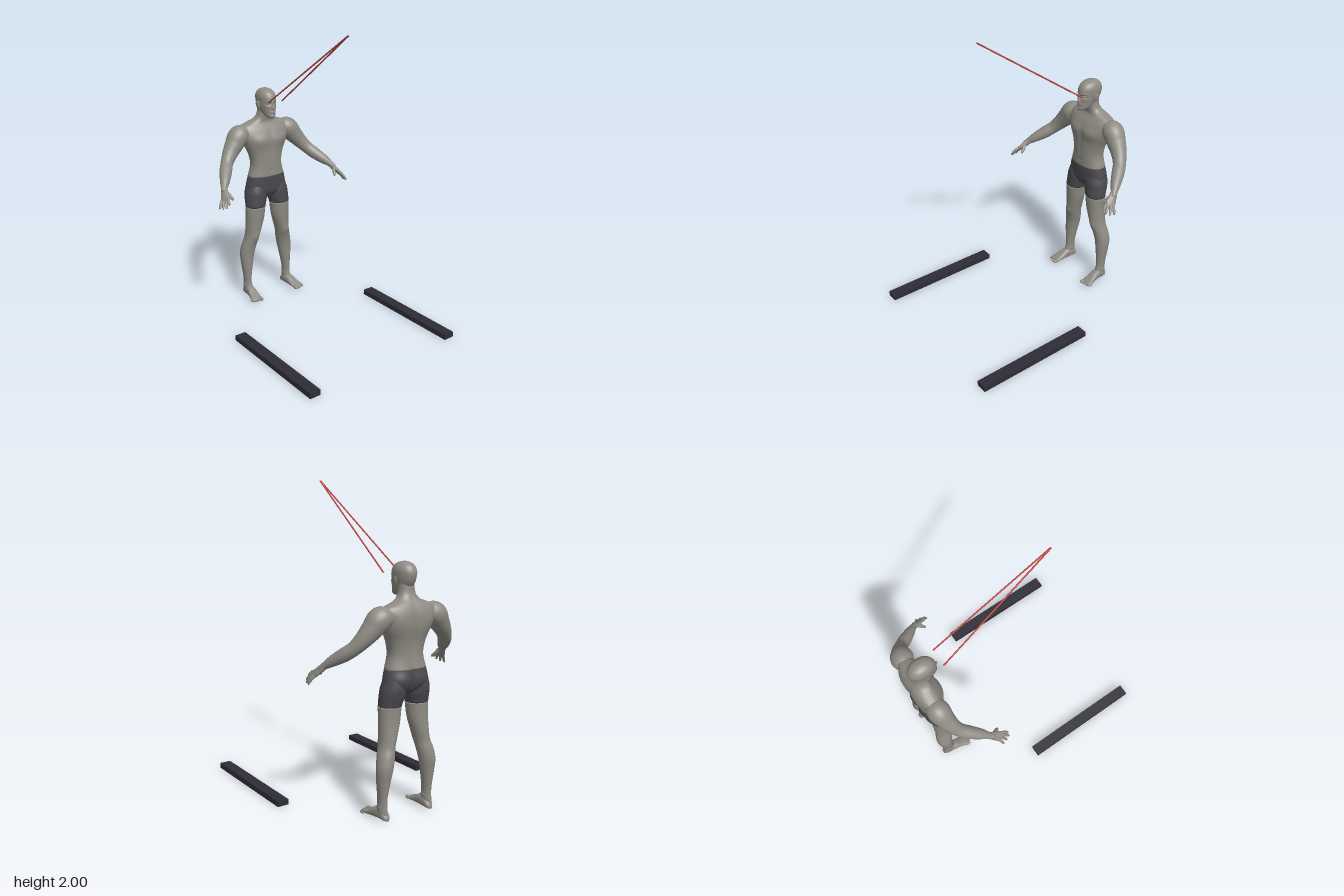
import * as THREE from 'three';

const V = (x, y, z) => new THREE.Vector3(x, y, z);
const material = (name, color) => Object.assign(new THREE.MeshStandardMaterial({ color }), { name });

// Smooth lookup in rows of [key, value, value...]
function sample(rows, k) {
  let i = 0;
  while (i < rows.length - 2 && k > rows[i + 1][0]) i++;
  const a = rows[i], b = rows[i + 1], h = b[0] - a[0], t = (k - a[0]) / h;
  const slope = (j, c) => {
    const p = rows[Math.max(j - 1, 0)], n = rows[Math.min(j + 1, rows.length - 1)];
    return (n[c] - p[c]) / (n[0] - p[0]);
  };
  return a.slice(1).map((v, n) => {
    const c = n + 1;
    return (2 * t ** 3 - 3 * t * t + 1) * v + (t ** 3 - 2 * t * t + t) * h * slope(i, c)
      + (3 * t * t - 2 * t ** 3) * b[c] + (t ** 3 - t * t) * h * slope(i + 1, c);
  });
}

// Skin over rings {c, u, v}; bumps [x, y, z, rx, ry, rz, push] swell or dent it on both sides
function skinRings(rings, { segs = 32, power = 2, bumps = [] } = {}) {
  const pos = [], idx = [];
  const all = bumps.flatMap(b => (b[0] ? [b, [-b[0], ...b.slice(1)]] : [b]));
  const pw = v => Math.sign(v) * Math.abs(v) ** (2 / power);
  for (const { c, u, v } of rings) {
    for (let j = 0; j < segs; j++) {
      const a = (j / segs) * Math.PI * 2;
      const p = c.clone().addScaledVector(u, pw(Math.cos(a))).addScaledVector(v, pw(Math.sin(a)));
      const out = p.clone().sub(c).normalize();
      let push = 0;
      for (const [x, y, z, rx, ry, rz, amount] of all)
        push += amount * Math.exp(-(((p.x - x) / rx) ** 2) - ((p.y - y) / ry) ** 2 - ((p.z - z) / rz) ** 2);
      p.addScaledVector(out, push);
      pos.push(p.x, p.y, p.z);
    }
  }
  const last = rings.length - 1, cap = rings.length * segs;
  for (const r of [rings[0], rings[last]]) pos.push(r.c.x, r.c.y, r.c.z);
  for (let j = 0; j < segs; j++) {
    const k = (j + 1) % segs;
    for (let i = 0; i < last; i++) {
      const a = i * segs + j, b = i * segs + k;
      idx.push(a, b, b + segs, a, b + segs, a + segs);
    }
    idx.push(cap, k, j, cap + 1, last * segs + j, last * segs + k);
  }
  const g = new THREE.BufferGeometry();
  g.setAttribute('position', new THREE.Float32BufferAttribute(pos, 3));
  g.setIndex(idx);
  g.computeVertexNormals();
  return g;
}

// Upright form from rows [y, centre x, half width, front z, back z]
function upright(rows, y0, y1, n, options) {
  const rings = [];
  for (let i = 0; i <= n; i++) {
    const y = y0 + ((y1 - y0) * i) / n;
    const [cx, w, f, b] = sample(rows, y);
    rings.push({ c: V(cx, y, (f + b) / 2), u: V(0, 0, (f - b) / 2), v: V(w, 0, 0) });
  }
  return skinRings(rings, options);
}

// Limb along points [x, y, z, half width, half thickness]; side sets the width direction
function limb(points, side, n, segs) {
  const curve = new THREE.CatmullRomCurve3(points.map(p => V(p[0], p[1], p[2])));
  const radii = points.map((p, i) => [i, p[3], p[4] ?? p[3]]);
  const rings = [];
  for (let i = 0; i <= n; i++) {
    const t = i / n, d = curve.getTangent(t);
    const [w, h] = sample(radii, t * (points.length - 1));
    const u = side.clone().addScaledVector(d, -side.dot(d)).normalize();
    rings.push({ c: curve.getPoint(t), u: u.clone().multiplyScalar(w), v: d.clone().cross(u).multiplyScalar(h) });
  }
  return skinRings(rings, { segs });
}

function mirrored(geometry) {
  const g = geometry.clone().scale(-1, 1, 1), ix = g.index.array;
  for (let i = 0; i < ix.length; i += 3) [ix[i + 1], ix[i + 2]] = [ix[i + 2], ix[i + 1]];
  return g;
}

function ball(x, y, z, rx, ry, rz) {
  return new THREE.SphereGeometry(1, 20, 14).scale(rx, ry, rz).translate(x, y, z);
}

export function createModel() {
  const model = new THREE.Group();
  const skin = material('skin', 0x8f8c84), cloth = material('shorts cloth', 0x4a4a4f);
  const dark = material('dark rail', 0x2e2d37), red = material('red rod', 0xc24a48);

  const add = (name, geometry, mat) => {
    const mesh = new THREE.Mesh(geometry, mat);
    mesh.name = name;
    model.add(mesh);
  };
  const pair = (name, geometry, mat) => {
    add('left ' + name, geometry, mat);
    add('right ' + name, mirrored(geometry), mat);
  };

  // Trunk, from pelvis to neck
  const trunk = [
    [0.76, 0, 0.09, -0.56, -0.65], [0.8, 0, 0.148, -0.54, -0.685], [0.85, 0, 0.153, -0.535, -0.698],
    [0.915, 0, 0.138, -0.533, -0.695], [1.0, 0, 0.117, -0.532, -0.69], [1.08, 0, 0.132, -0.532, -0.697],
    [1.15, 0, 0.163, -0.53, -0.712], [1.2, 0, 0.183, -0.532, -0.716], [1.25, 0, 0.192, -0.55, -0.714],
    [1.285, 0, 0.175, -0.57, -0.703], [1.305, 0, 0.125, -0.578, -0.692], [1.325, 0, 0.077, -0.576, -0.678],
    [1.36, 0, 0.054, -0.568, -0.662], [1.42, 0, 0.05, -0.56, -0.655],
  ];
  const trunkShape = {
    segs: 72, power: 2.3,
    bumps: [
      [0.075, 1.175, -0.53, 0.06, 0.04, 0.06, 0.011], // chest
      [0, 1.18, -0.53, 0.014, 0.07, 0.05, -0.008], // breastbone
      [0, 1.03, -0.53, 0.01, 0.08, 0.04, -0.004], // belly line
      [0, 0.955, -0.53, 0.008, 0.009, 0.04, -0.006], // navel
      [0, 1.1, -0.7, 0.02, 0.17, 0.05, -0.012], // spine
      [0.1, 1.2, -0.71, 0.05, 0.06, 0.05, 0.009], // shoulder blades
      [0.07, 0.845, -0.7, 0.055, 0.055, 0.05, 0.014], // seat
      [0, 0.83, -0.7, 0.014, 0.07, 0.05, -0.02],
    ],
  };
  add('torso and neck', upright(trunk, 0.915, 1.42, 80, trunkShape), skin);
  add('shorts seat', upright(trunk, 0.76, 0.915, 28, trunkShape), cloth);

  // Legs
  const leg = [
    [0.02, 0.17, 0.026, -0.575, -0.672], [0.06, 0.17, 0.027, -0.578, -0.671], [0.1, 0.17, 0.025, -0.59, -0.667],
    [0.15, 0.17, 0.028, -0.592, -0.668], [0.25, 0.167, 0.042, -0.588, -0.682], [0.33, 0.161, 0.052, -0.584, -0.693],
    [0.4, 0.147, 0.053, -0.572, -0.687], [0.45, 0.134, 0.05, -0.558, -0.676], [0.5, 0.123, 0.053, -0.55, -0.674],
    [0.6, 0.107, 0.066, -0.54, -0.67], [0.7, 0.1, 0.073, -0.533, -0.673], [0.76, 0.09, 0.082, -0.535, -0.688],
    [0.8, 0.088, 0.078, -0.536, -0.695], [0.86, 0.08, 0.068, -0.55, -0.692],
  ];
  const legShape = {
    bumps: [
      [0.13, 0.47, -0.55, 0.025, 0.03, 0.03, 0.006], // kneecap
      [0.145, 0.09, -0.62, 0.02, 0.014, 0.016, 0.005], // ankle
      [0.195, 0.085, -0.63, 0.02, 0.014, 0.016, 0.005],
    ],
  };
  pair('leg', upright(leg, 0.02, 0.695, 64, legShape), skin);
  pair('shorts leg', upright(leg, 0.695, 0.86, 18, legShape), cloth);

  // Feet: rows [z, centre x, half width, top]
  const foot = [
    [-0.678, 0.166, 0.012, 0.03], [-0.665, 0.166, 0.024, 0.05], [-0.62, 0.168, 0.03, 0.08], [-0.57, 0.172, 0.033, 0.072],
    [-0.53, 0.177, 0.037, 0.05], [-0.495, 0.181, 0.041, 0.034], [-0.475, 0.181, 0.037, 0.026],
  ];
  const footRings = [];
  for (let i = 0; i <= 24; i++) {
    const z = -0.678 + (0.203 * i) / 24, [cx, w, top] = sample(foot, z), h = (top - 0.008) / 2;
    footRings.push({ c: V(cx, 0.008 + h, z), u: V(w, 0, 0), v: V(0, h, 0) });
  }
  pair('foot', skinRings(footRings, { power: 2.5 }), skin);
  for (let i = 0; i < 5; i++) {
    const r = i ? 0.0085 - i * 0.0004 : 0.012;
    pair('toe ' + (i + 1), ball(0.152 + i * 0.0165 + (i ? 0.002 : 0), 0.008 + r, -0.473 - i * i * 0.0012, r, r, 0.021), skin);
  }

  // Arms
  pair('arm', limb([
    [0.14, 1.232, -0.635, 0.055], [0.2, 1.222, -0.632, 0.073], [0.248, 1.168, -0.622, 0.064], [0.295, 1.112, -0.605, 0.052],
    [0.338, 1.06, -0.575, 0.043], [0.375, 1.02, -0.53, 0.042], [0.415, 0.98, -0.475, 0.034], [0.448, 0.945, -0.432, 0.022],
    [0.46, 0.925, -0.412, 0.022],
  ], V(0, 0, 1), 64, 32), skin);

  // Hands
  const across = V(-0.44, 0.4, 0.8);
  pair('palm', limb([
    [0.444, 0.95, -0.438, 0.021, 0.018], [0.457, 0.928, -0.414, 0.027, 0.017],
    [0.471, 0.903, -0.386, 0.034, 0.015], [0.482, 0.884, -0.364, 0.033, 0.011], [0.485, 0.879, -0.359, 0.024, 0.006],
  ], across, 20, 24), skin);
  const fingers = {
    'index finger': [0.024, 0.483, 0.865, -0.312], 'middle finger': [0.008, 0.5, 0.846, -0.316],
    'ring finger': [-0.008, 0.514, 0.836, -0.34], 'little finger': [-0.023, 0.522, 0.832, -0.372],
  };
  for (const [name, [offset, x, y, z]] of Object.entries(fingers)) {
    const base = V(0.477, 0.893, -0.374).addScaledVector(across, offset), tip = V(x, y, z);
    const points = [0, 0.4, 0.75, 0.94, 1].map((t, i) => {
      const p = base.clone().lerp(tip, t);
      return [p.x, p.y + 0.008 * Math.sin(t * Math.PI), p.z, [0.01, 0.0095, 0.0085, 0.0065, 0.002][i]];
    });
    pair(name, limb(points, across, 16, 14), skin);
  }
  pair('thumb', limb([
    [0.455, 0.932, -0.41, 0.014], [0.443, 0.914, -0.388, 0.013], [0.433, 0.897, -0.371, 0.011],
    [0.427, 0.884, -0.357, 0.008], [0.425, 0.88, -0.353, 0.002],
  ], across, 16, 14), skin);

  // Head
  const head = [
    [1.338, 0, 0.012, -0.51, -0.54], [1.345, 0, 0.024, -0.504, -0.56], [1.36, 0, 0.037, -0.502, -0.595],
    [1.385, 0, 0.047, -0.503, -0.642], [1.42, 0, 0.055, -0.504, -0.67], [1.46, 0, 0.06, -0.504, -0.683],
    [1.49, 0, 0.06, -0.509, -0.681], [1.515, 0, 0.051, -0.525, -0.666], [1.53, 0, 0.036, -0.547, -0.646],
    [1.538, 0, 0.018, -0.573, -0.62], [1.541, 0, 0.002, -0.595, -0.599],
  ];
  add('head', upright(head, 1.338, 1.541, 80, {
    segs: 64, power: 2.1,
    bumps: [
      [0.025, 1.443, -0.51, 0.014, 0.01, 0.03, -0.008], // eye sockets
      [0.025, 1.459, -0.505, 0.022, 0.006, 0.03, 0.003], // brows
      [0.037, 1.42, -0.52, 0.014, 0.014, 0.03, 0.003], // cheeks
      [0, 1.389, -0.503, 0.019, 0.0045, 0.03, 0.004], // lips
      [0, 1.379, -0.503, 0.016, 0.0045, 0.03, 0.004],
      [0, 1.354, -0.503, 0.016, 0.009, 0.03, 0.005], // chin
    ],
  }), skin);
  add('nose', upright([
    [1.401, 0, 0.007, -0.5, -0.53], [1.406, 0, 0.014, -0.491, -0.53], [1.413, 0, 0.012, -0.488, -0.53],
    [1.43, 0, 0.008, -0.495, -0.53], [1.455, 0, 0.007, -0.503, -0.53],
  ], 1.401, 1.455, 18, { segs: 24 }), skin);
  pair('eye', ball(0.025, 1.443, -0.526, 0.012, 0.009, 0.012), skin);
  pair('ear', ball(0, 0, 0, 0.007, 0.03, 0.018).rotateY(-0.4).rotateZ(-0.15).translate(0.064, 1.43, -0.592), skin);

  // Converging rods in front of the eyes
  const rod = new THREE.LineCurve3(V(0.057, 1.462, -0.475), V(0.001, 1.997, 0.304));
  pair('rod', new THREE.TubeGeometry(rod, 1, 0.005, 10), red);

  // Floor rails
  pair('floor rail', new THREE.BoxGeometry(0.075, 0.036, 0.83).translate(0.554, 0.018, 0.304), dark);

  return model;
}
